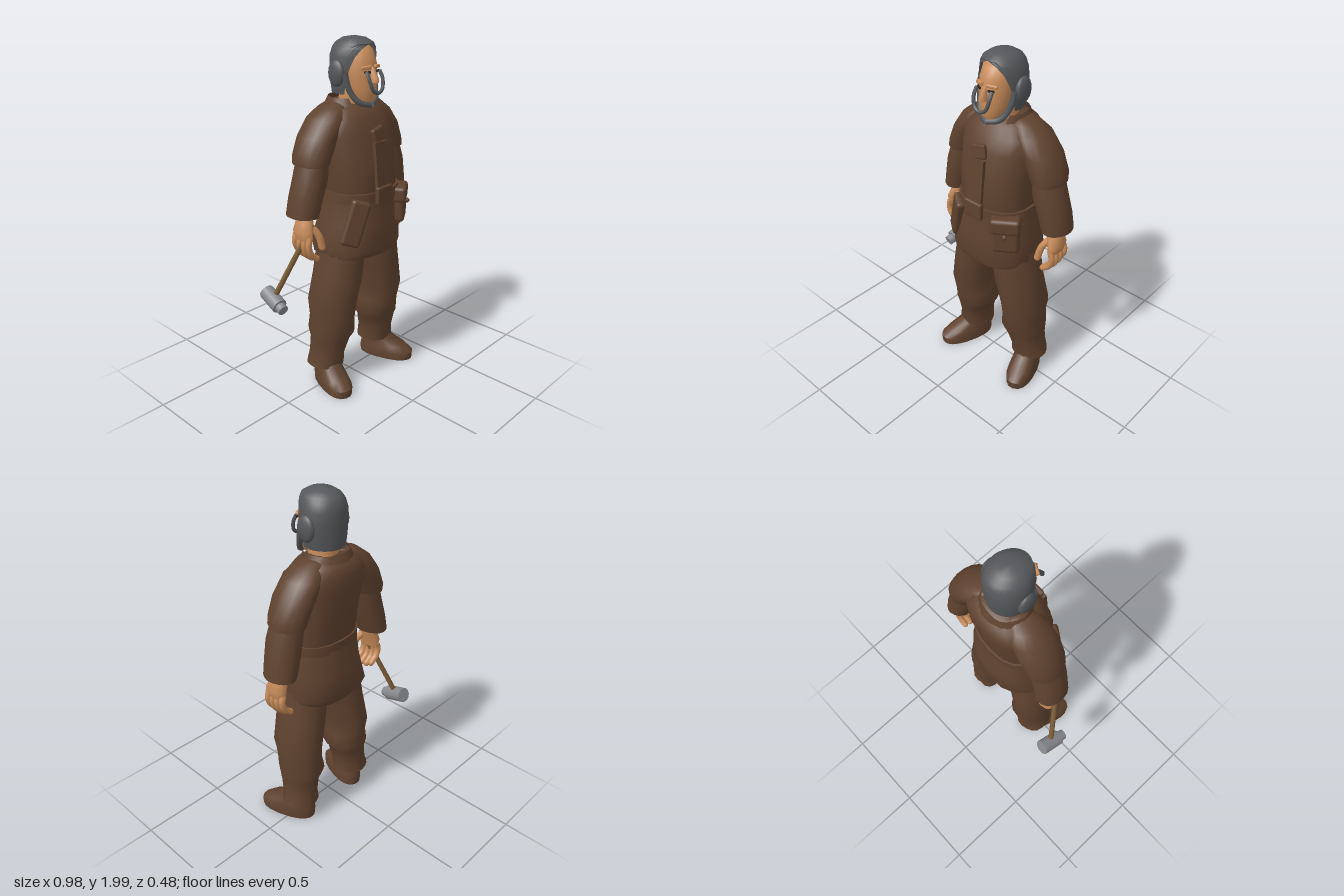
import * as THREE from 'three';
import { toCreasedNormals } from 'three/addons/utils/BufferGeometryUtils.js';
import { RoundedBoxGeometry } from 'three/addons/geometries/RoundedBoxGeometry.js';

const CX = 0.05; // body axis

function material(name, color, double) {
  const m = new THREE.MeshStandardMaterial({ color });
  m.name = name;
  if (double) m.side = THREE.DoubleSide;
  return m;
}

// Horizontal rings, bottom to top: [y, x, z, rx, rz, openHalfAngle]
function loft(rings, { sides = 18, power = 1, wobble = 0, open = false } = {}) {
  const pos = [], idx = [];
  const pw = v => Math.sign(v) * Math.abs(v) ** power;
  rings.forEach(([y, x, z, rx, rz, gap = 0], i) => {
    for (let j = 0; j <= sides; j++) {
      const k = open ? j : j % sides;
      const t = gap + (k / sides) * (2 * Math.PI - 2 * gap);
      const w = 1 + wobble * Math.sin(5 * t + i * 2.1);
      pos.push(x + rx * w * pw(Math.sin(t)), y, z + rz * w * pw(Math.cos(t)));
    }
  });
  const n = sides + 1, last = rings.length - 1;
  for (let i = 0; i < last; i++) for (let j = 0; j < sides; j++) {
    const a = i * n + j, b = a + 1, c = b + n, d = a + n;
    idx.push(a, b, c, a, c, d);
  }
  if (!open) {
    const bottom = pos.length / 3, top = bottom + 1;
    for (const r of [rings[0], rings[last]]) pos.push(r[1], r[0], r[2]);
    for (let j = 0; j < sides; j++) {
      idx.push(bottom, j + 1, j, top, last * n + j, last * n + j + 1);
    }
  }
  const g = new THREE.BufferGeometry();
  g.setAttribute('position', new THREE.Float32BufferAttribute(pos, 3));
  g.setIndex(idx);
  return toCreasedNormals(g, 0.9);
}

function tube(points, r, segments = 12) {
  const curve = new THREE.CatmullRomCurve3(points.map(p => new THREE.Vector3(...p)));
  return new THREE.TubeGeometry(curve, segments, r, 7, false);
}

export function createModel() {
  const root = new THREE.Group();
  const cloth = material('brownCloth', 0x5f422f, true);
  const skin = material('skin', 0xc98c5a);
  const iron = material('darkIron', 0x55575a, true);
  const steel = material('hammerSteel', 0x87888c);
  const wood = material('handleWood', 0x7b5d38);
  const dark = material('eyeDark', 0x2a2420);

  const add = (name, geo, mat, p = [0, 0, 0], r = [0, 0, 0]) => {
    const m = new THREE.Mesh(geo, mat);
    m.name = name;
    m.position.set(...p);
    m.rotation.set(...r);
    root.add(m);
    return m;
  };
  // Straight rod between two points
  const rod = (name, a, b, r, mat, sides = 10) => {
    const A = new THREE.Vector3(...a), B = new THREE.Vector3(...b);
    const m = add(name, new THREE.CylinderGeometry(r, r, A.distanceTo(B), sides), mat);
    m.position.copy(A).add(B).multiplyScalar(0.5);
    m.quaternion.setFromUnitVectors(new THREE.Vector3(0, 1, 0), B.sub(A).normalize());
  };

  // Tunic, skirt, belt and collar
  add('tunic', loft([
    [1.1, 0.06, 0.02, 0.2, 0.165], [1.2, 0.06, 0.022, 0.215, 0.18],
    [1.36, 0.055, 0.005, 0.215, 0.185], [1.5, 0.053, -0.02, 0.225, 0.178],
    [1.58, 0.05, -0.035, 0.22, 0.163], [1.635, 0.05, -0.045, 0.17, 0.135],
    [1.66, 0.05, -0.055, 0.11, 0.085]], { power: 0.85, wobble: 0.012 }), cloth);
  add('collar', loft([
    [1.6, CX, -0.045, 0.165, 0.145, 0.5], [1.685, CX, -0.04, 0.125, 0.11, 0.8]],
  { open: true, wobble: 0.03 }), cloth);
  add('skirt', loft([
    [0.83, 0.045, 0.015, 0.255, 0.2], [0.87, 0.045, 0.012, 0.262, 0.218],
    [1.0, 0.06, 0.01, 0.235, 0.205], [1.19, 0.06, 0.022, 0.215, 0.182]],
  { power: 0.85, wobble: 0.015 }), cloth);
  add('belt', loft([
    [1.14, 0.06, 0.022, 0.232, 0.19], [1.195, 0.06, 0.022, 0.228, 0.19]],
  { power: 0.85 }), cloth);
  add('buckle', new RoundedBoxGeometry(0.12, 0.1, 0.03, 1, 0.01), cloth, [0.05, 1.175, 0.213]);
  add('placket', new THREE.BoxGeometry(0.1, 0.27, 0.02), cloth, [0.05, 1.33, 0.194], [-0.1, 0, 0]);
  add('chestKnot', new RoundedBoxGeometry(0.09, 0.08, 0.03, 1, 0.012), cloth, [0.05, 1.5, 0.165], [-0.15, 0, 0.25]);

  // Pouches on the belt
  add('leftPouch', new RoundedBoxGeometry(0.15, 0.2, 0.08, 2, 0.025), cloth, [0.235, 1.07, 0.165], [0, 0.6, 0]);
  add('leftPouchFlap', new RoundedBoxGeometry(0.16, 0.09, 0.09, 2, 0.02), cloth, [0.235, 1.135, 0.168], [0, 0.6, 0]);
  add('pouchToggle', new THREE.SphereGeometry(0.014, 8, 6), cloth, [0.262, 1.085, 0.207]);
  add('rightPouch', new RoundedBoxGeometry(0.11, 0.26, 0.05, 2, 0.02), cloth, [-0.125, 1.04, 0.165], [-0.08, -0.6, -0.35]);

  for (const s of [1, -1]) {
    const side = s > 0 ? 'left' : 'right';
    const X = d => CX + s * d;
    const rings = list => list.map(([y, d, ...rest]) => [y, X(d), ...rest]);

    // Wide short sleeve over a long sleeve
    add(side + 'ShoulderSleeve', loft(rings([
      [1.36, 0.295, -0.045, 0.088, 0.112], [1.4, 0.285, -0.045, 0.096, 0.116],
      [1.5, 0.24, -0.048, 0.1, 0.12], [1.59, 0.175, -0.045, 0.1, 0.112],
      [1.64, 0.13, -0.045, 0.08, 0.08], [1.665, 0.1, -0.045, 0.04, 0.05]]),
    { wobble: 0.015 }), cloth);
    add(side + 'LowerSleeve', loft(rings([
      [1.085, 0.36, -0.05, 0.078, 0.1], [1.18, 0.337, -0.045, 0.088, 0.1],
      [1.28, 0.31, -0.04, 0.092, 0.1], [1.42, 0.28, -0.045, 0.075, 0.09]]),
    { wobble: 0.015 }), cloth);

    // Hand with curled fingers
    add(side + 'Palm', loft(rings([
      [0.955, 0.375, -0.03, 0.026, 0.066], [1.0, 0.376, -0.032, 0.038, 0.068],
      [1.05, 0.358, -0.038, 0.04, 0.056], [1.11, 0.345, -0.045, 0.036, 0.044]]),
    { sides: 12 }), skin);
    for (let f = 0; f < 4; f++) {
      const z = 0.022 - f * 0.036, len = [0.005, 0, 0.004, 0.02][f];
      const tip = [X(0.33), 0.838 + len, z];
      add(side + 'Finger' + (f + 1), tube([[X(0.375), 0.98, z], [X(0.388), 0.92 + len, z], [X(0.37), 0.87 + len, z], tip], 0.018, 8), skin);
      add(side + 'Fingertip' + (f + 1), new THREE.SphereGeometry(0.018, 7, 5), skin, tip);
    }
    const thumbTip = [X(0.3), 0.905, 0.035];
    add(side + 'Thumb', tube([[X(0.355), 1.04, -0.01], [X(0.318), 0.98, 0.025], thumbTip], 0.02, 8), skin);
    add(side + 'ThumbTip', new THREE.SphereGeometry(0.02, 7, 5), skin, thumbTip);

    // Baggy trouser leg
    add(side + 'Trouser', loft(rings([
      [0.13, 0.22, -0.03, 0.108, 0.108], [0.2, 0.213, -0.022, 0.095, 0.108],
      [0.3, 0.2, -0.012, 0.108, 0.122], [0.35, 0.187, -0.01, 0.128, 0.142],
      [0.43, 0.19, 0, 0.116, 0.142], [0.53, 0.195, 0, 0.122, 0.156],
      [0.7, 0.157, 0.015, 0.13, 0.152], [0.92, 0.125, 0.02, 0.125, 0.145]]),
    { wobble: 0.025 }), cloth);

    // Boot, toe turned outward
    add(side + 'Boot', loft([
      [0.01, 0, 0.035, 0.08, 0.17], [0.055, 0, 0.035, 0.082, 0.172],
      [0.09, 0, 0.015, 0.074, 0.145], [0.13, 0, -0.025, 0.066, 0.095],
      [0.2, 0, -0.04, 0.065, 0.075]], { power: 0.85 }), cloth, [X(0.23), 0, 0.018], [0, s * 0.33, 0]);

    // Helmet ear disc, cheek guard, eye and brow
    const ear = add(side + 'EarDisc', new THREE.SphereGeometry(1, 14, 10), iron, [X(0.125), 1.815, -0.02]);
    ear.scale.set(0.026, 0.07, 0.055);
    add(side + 'CheekGuard', tube([[X(0.115), 1.82, 0.03], [X(0.1), 1.73, 0.05], [X(0.065), 1.668, 0.085], [CX, 1.65, 0.115]], 0.016), iron);
    add(side + 'Eye', new THREE.BoxGeometry(0.034, 0.01, 0.008), dark, [X(0.04), 1.825, 0.121], [0, s * 0.4, 0]);
    add(side + 'Brow', new RoundedBoxGeometry(0.06, 0.018, 0.02, 1, 0.006), skin, [X(0.04), 1.848, 0.114], [0, s * 0.4, -s * 0.1]);
  }

  // Neck, face and nose
  add('neck', loft([[1.58, CX, -0.02, 0.085, 0.08], [1.76, CX, -0.01, 0.072, 0.08]]), skin);
  add('face', loft([
    [1.65, CX, 0.07, 0.04, 0.04], [1.68, CX, 0.06, 0.062, 0.065],
    [1.74, CX, 0.035, 0.08, 0.092], [1.8, CX, 0.025, 0.092, 0.102],
    [1.87, CX, 0.015, 0.093, 0.105], [1.93, CX, 0, 0.086, 0.095], [1.97, CX, -0.01, 0.05, 0.06]]), skin);
  add('nose', loft([
    [1.77, CX, 0.13, 0.022, 0.032], [1.79, CX, 0.128, 0.02, 0.034],
    [1.85, CX, 0.11, 0.01, 0.016]], { sides: 8 }), skin);

  // Open-faced helmet
  add('helmet', loft([
    [1.705, CX, -0.02, 0.11, 0.115, 1.25], [1.76, CX, -0.022, 0.118, 0.118, 1.12],
    [1.84, CX, -0.02, 0.126, 0.122, 0.95], [1.9, CX, -0.018, 0.122, 0.124, 0.75],
    [1.94, CX, -0.012, 0.11, 0.12, 0.5], [1.965, CX, -0.007, 0.094, 0.108, 0],
    [1.988, CX, -0.008, 0.06, 0.068, 0], [2.0, CX, -0.008, 0.001, 0.001, 0]],
  { sides: 26, open: true }), iron);

  // Curved bar hung in front of the mouth
  add('faceBar', tube([
    [0.0, 1.828, 0.125], [-0.002, 1.79, 0.145], [0.014, 1.735, 0.158], [0.05, 1.718, 0.162],
    [0.086, 1.735, 0.158], [0.102, 1.79, 0.145], [0.1, 1.828, 0.125]], 0.01, 24), iron);

  // Hammer in the right hand
  rod('hammerHandle', [-0.295, 1.04, 0.008], [-0.445, 0.59, -0.16], 0.015, wood, 8);
  const along = t => [-0.445 - 0.02 * t, 0.588 - 0.06 * t, -0.155 + 0.17 * t];
  rod('hammerHead', along(-0.42), along(0.32), 0.044, steel, 12);
  rod('hammerFace', along(0.3), along(0.52), 0.031, steel, 12);

  return root;
}
